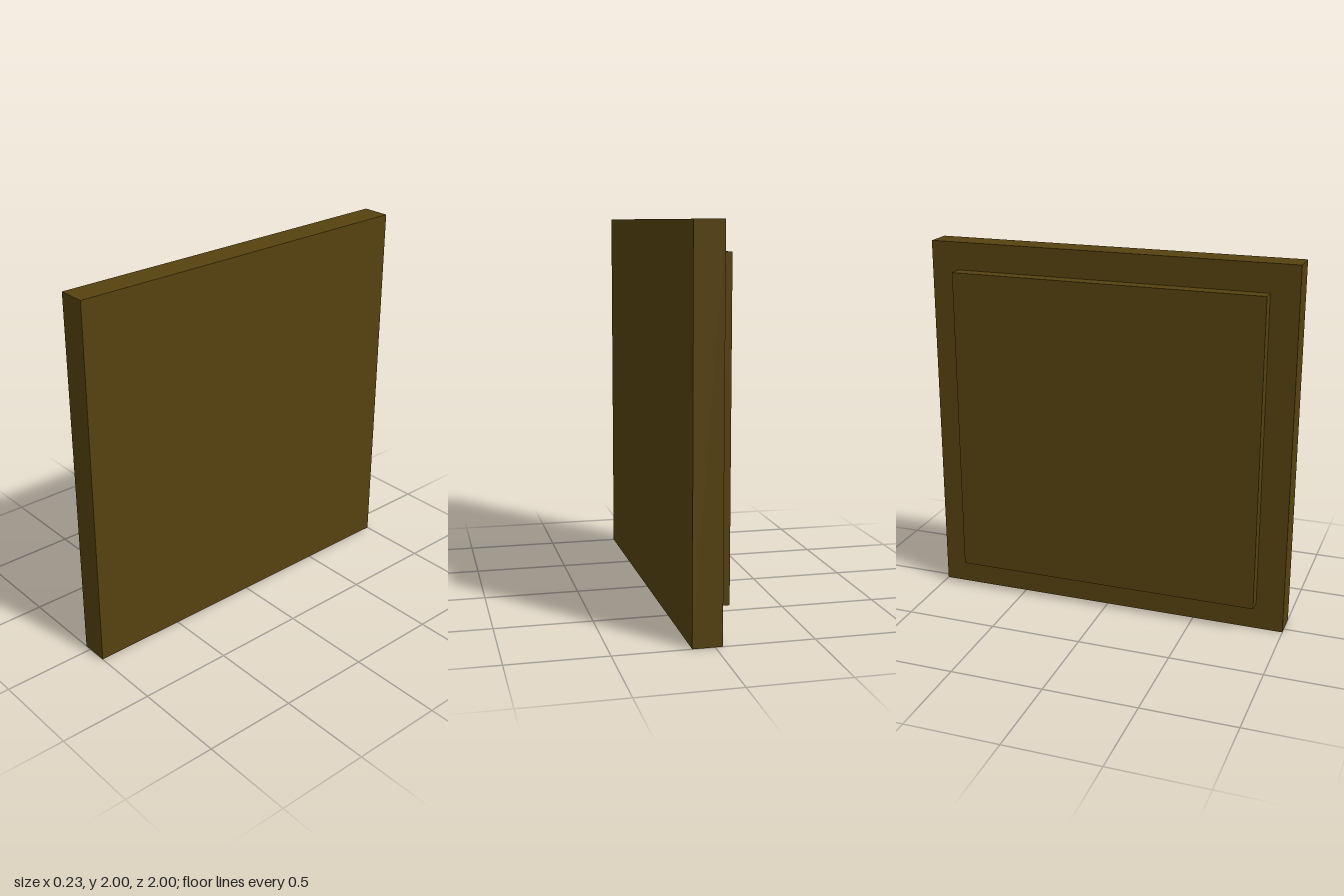
import * as THREE from 'three';

export function createModel() {
  const model = new THREE.Group();
  model.name = 'wallPanel';
  const darkWood = new THREE.MeshStandardMaterial({ color: 0x56420f });
  darkWood.name = 'darkWood';

  // Square plate centred at height 1, spanning x0 to x1
  const addPlate = (name, x0, x1, size) => {
    const plate = new THREE.Mesh(new THREE.BoxGeometry(x1 - x0, size, size), darkWood);
    plate.name = name;
    plate.position.set((x0 + x1) / 2, 1, 0);
    model.add(plate);
  };

  addPlate('mainSlab', -0.0375, 0.1125, 2);
  // Smaller raised panel on the slab's -x face
  addPlate('raisedPanel', -0.1125, -0.0375, 1.7);

  return model;
}
